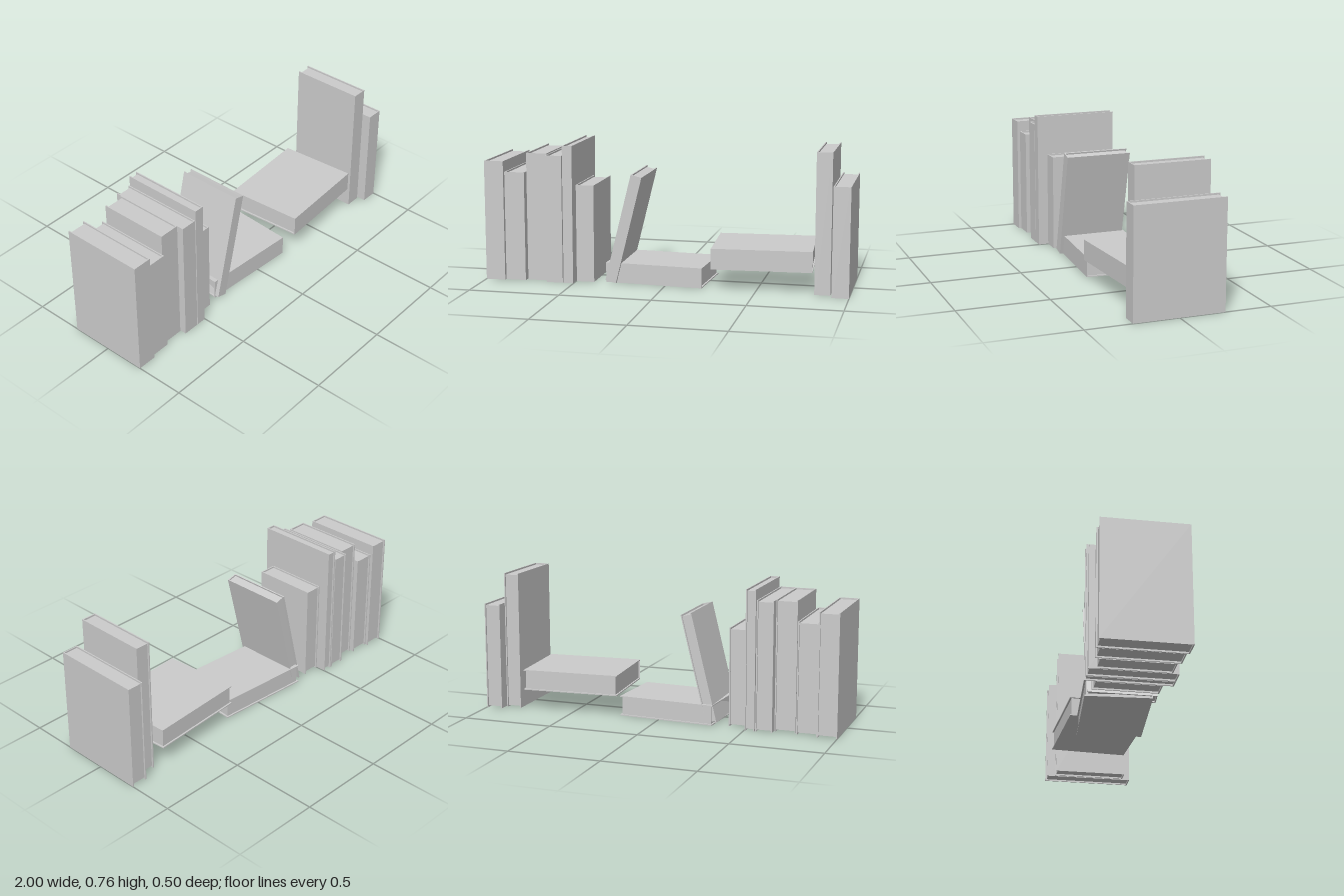
import * as THREE from 'three';

const BOARD = 0.006; // cover thickness
const INSET = 0.009; // how far the pages sit back from the cover edges
const material = new THREE.MeshStandardMaterial({ color: 0xcccccc });

function box(name, w, h, d, x, y, z) {
  const mesh = new THREE.Mesh(new THREE.BoxGeometry(w, h, d), material);
  mesh.name = name;
  mesh.position.set(x, y, z);
  return mesh;
}

// Upright book standing on y = 0, spine towards +z
function makeBook(name, w, h, d) {
  const book = new THREE.Group();
  book.name = name;
  for (const side of [-1, 1]) {
    book.add(box(side < 0 ? 'rightCover' : 'leftCover', BOARD, h, d, side * (w - BOARD) / 2, h / 2, 0));
  }
  book.add(box('spine', w - 2 * BOARD, h, BOARD, 0, h / 2, (d - BOARD) / 2));
  book.add(box('pages', w - 2 * BOARD, h - 2 * INSET, d - BOARD - INSET, 0, h / 2, (INSET - BOARD) / 2));
  return book;
}

export function createModel() {
  const model = new THREE.Group();
  model.name = 'bookRow';

  // Standing books: left x, right x, height, depth
  const standing = [
    [-1.0, -0.892, 0.66, 0.46],
    [-0.89, -0.778, 0.6, 0.43],
    [-0.77, -0.656, 0.705, 0.39],
    [-0.652, -0.561, 0.7, 0.46],
    [-0.556, -0.502, 0.755, 0.46],
    [-0.497, -0.398, 0.535, 0.35],
    [0.813, 0.898, 0.76, 0.404],
    [0.908, 1.0, 0.59, 0.495],
  ];
  standing.forEach(([x0, x1, h, d], i) => {
    const book = makeBook('standingBook' + (i + 1), x1 - x0, h, d);
    book.position.x = (x0 + x1) / 2;
    model.add(book);
  });

  // Leaning book
  const leaning = makeBook('leaningBook', 0.061, 0.605, 0.368);
  leaning.position.set(-0.304, 0.008, -0.004);
  leaning.rotation.z = -0.243;
  model.add(leaning);

  // Lying books: thickness, length, depth, centre x, base y, centre z, turn
  const lying = [
    [0.11, 0.541, 0.357, -0.053, 0, -0.004, -0.066],
    [0.113, 0.541, 0.432, 0.518, 0.116, -0.003, 0.064],
  ];
  lying.forEach(([t, length, d, x, y, z, turn], i) => {
    const book = makeBook('lyingBook' + (i + 1), t, length, d);
    book.rotation.z = -Math.PI / 2;
    book.position.set(-length / 2, t / 2, 0);
    const pivot = new THREE.Group();
    pivot.name = 'lyingBookPlace' + (i + 1);
    pivot.add(book);
    pivot.position.set(x, y, z);
    pivot.rotation.y = turn;
    model.add(pivot);
  });

  return model;
}
